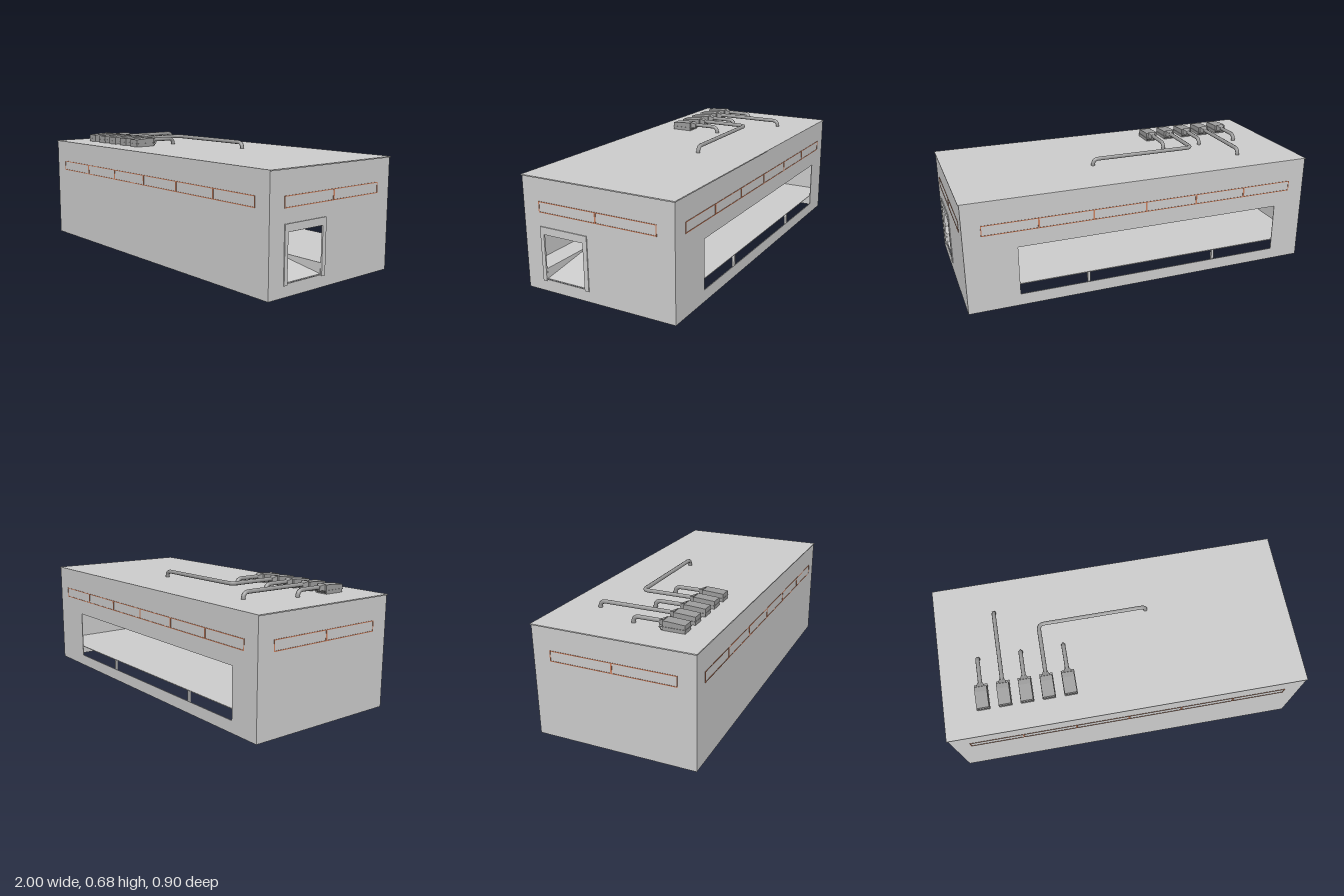
import * as THREE from 'three';

const mat = (name, color, extra = {}) => {
  const m = new THREE.MeshStandardMaterial({ color, ...extra });
  m.name = name;
  return m;
};

export function createModel() {
  const model = new THREE.Group();
  model.name = 'industrialHall';
  const shell = mat('paleGrey', 0xcccccc);
  const metal = mat('ductGrey', 0x9c9c9c, { side: THREE.DoubleSide });
  const trim = mat('rustOrange', 0xc9805f);

  const add = (name, geo, material, parent = model) => {
    const m = new THREE.Mesh(geo, material);
    m.name = name;
    parent.add(m);
    return m;
  };
  const box = (name, x0, x1, y0, y1, z0, z1, material, parent) => {
    const m = add(name, new THREE.BoxGeometry(x1 - x0, y1 - y0, z1 - z0), material, parent);
    m.position.set((x0 + x1) / 2, (y0 + y1) / 2, (z0 + z1) / 2);
    return m;
  };
  const poly = (pts) => new THREE.Shape(pts.map(([x, y]) => new THREE.Vector2(x, y)));
  const rect = (x0, x1, y0, y1) => poly([[x0, y0], [x1, y0], [x1, y1], [x0, y1]]);
  const extrude = (shape, depth) =>
    new THREE.ExtrudeGeometry(shape, { depth, bevelEnabled: false });

  const X = 0.995, Z = 0.445, T = 0.004, BASE = 0.01, TOP = 0.62, FLOOR = 0.135;

  // Outer walls: wide opening at the back, doorway on the left (+x) side
  box('frontWall', -X, X, BASE, TOP, Z - T, Z, shell);
  box('rightWall', -X, -X + T, BASE, TOP, -Z, Z, shell);
  const back = rect(-X, X, BASE, TOP);
  back.holes.push(rect(-0.815, 0.715, 0.075, 0.35));
  add('backWall', extrude(back, T), shell).position.z = -Z;
  const side = rect(-Z, Z, BASE, TOP);
  side.holes.push(rect(-0.323, -0.08, 0.075, 0.323));
  add('doorWall', extrude(side, T).rotateY(Math.PI / 2), shell).position.x = X - T;
  box('roof', -1, 1, TOP, 0.626, -0.448, 0.448, shell);

  // Raised floor with a notch for the door ramp
  const floor = poly([[-0.99, -0.44], [0.99, -0.44], [0.99, 0.08], [0.63, 0.08],
    [0.63, 0.323], [0.99, 0.323], [0.99, 0.44], [-0.99, 0.44]]);
  add('floor', extrude(floor, T).rotateX(Math.PI / 2), shell).position.y = FLOOR;

  // Ramp sinking from the floor to the door sill, with side cheeks
  const ramp = poly([[0.63, FLOOR - T], [0.99, 0.075], [0.99, 0.079], [0.63, FLOOR]]);
  add('doorRamp', extrude(ramp, 0.243), shell).position.z = 0.08;
  const cheek = poly([[0.63, FLOOR], [0.99, 0.075], [0.99, FLOOR]]);
  for (const z of [0.077, 0.323]) {
    add('rampCheek', extrude(cheek, 0.003), shell).position.z = z;
  }

  // Door surround
  const surround = poly([[-0.345, 0.068], [-0.323, 0.068], [-0.323, 0.325],
    [-0.08, 0.325], [-0.08, 0.068], [-0.055, 0.068], [-0.055, 0.365], [-0.345, 0.365]]);
  add('doorSurround', extrude(surround, 0.007).rotateY(Math.PI / 2), shell).position.x = X - 0.002;

  // Support posts under the floor
  for (const x of [-0.95, -0.432, 0.328, 0.915]) {
    for (const z of [-0.42, 0, 0.42]) {
      if (z === 0 && Math.abs(x) < 0.9) continue;
      box('supportPost', x - 0.007, x + 0.007, 0, FLOOR - T, z - 0.007, z + 0.007, shell);
    }
  }

  // Window bands: one thin frame for each pane, reaching through the wall
  const windowBand = (name, half, count, place) => {
    const band = new THREE.Group();
    band.name = name;
    const w = 2 * half / count, b = 0.0045;
    for (let i = 0; i < count; i++) {
      const x0 = -half + i * w;
      const frame = rect(x0, x0 + w, 0.439, 0.498);
      frame.holes.push(rect(x0 + b, x0 + w - b, 0.439 + b, 0.498 - b));
      const m = add('windowFrame', extrude(frame, 0.008), trim, band);
      m.position.z = -0.006;
    }
    place(band);
    model.add(band);
  };
  windowBand('frontWindows', 0.9, 6, (g) => { g.position.z = Z; });
  windowBand('backWindows', 0.9, 6, (g) => { g.position.z = -Z; g.rotation.y = Math.PI; });
  windowBand('leftWindows', 0.348, 2, (g) => { g.position.x = X; g.rotation.y = Math.PI / 2; });
  windowBand('rightWindows', 0.348, 2, (g) => { g.position.x = -X; g.rotation.y = -Math.PI / 2; });

  // Duct following straight runs with rounded corners
  const V = (x, y, z) => new THREE.Vector3(x, y, z);
  const duct = (pts, r) => {
    const path = new THREE.CurvePath();
    let from = pts[0];
    for (let i = 1; i < pts.length - 1; i++) {
      const p = pts[i];
      const a = p.clone().add(pts[i - 1].clone().sub(p).setLength(r));
      const b = p.clone().add(pts[i + 1].clone().sub(p).setLength(r));
      path.add(new THREE.LineCurve3(from, a));
      path.add(new THREE.QuadraticBezierCurve3(a, p, b));
      from = b;
    }
    path.add(new THREE.LineCurve3(from, pts[pts.length - 1]));
    add('duct', new THREE.TubeGeometry(path, 90, 0.0115, 8, false), metal);
  };

  // Rooftop fan units, each with a duct that bends down into the roof
  const H = 0.661, R = 0.034;
  const ends = [0.01, -0.25, 0.01, null, 0.01];
  ends.forEach((end, i) => {
    const x = -0.78 + i * 0.12;
    const unit = new THREE.Group();
    unit.name = 'fanUnit';
    unit.position.x = x;
    model.add(unit);
    // Casing profile drawn in (-z, y)
    const casing = poly([[-0.305, 0.625], [-0.185, 0.625], [-0.185, 0.675],
      [-0.215, 0.675], [-0.305, 0.669]]);
    add('casing', extrude(casing, 0.068).rotateY(Math.PI / 2), metal, unit).position.x = -0.034;
    box('tray', -0.037, 0.037, 0.643, 0.646, 0.165, 0.307, metal, unit);
    for (const s of [-1, 1]) {
      const strut = box('bracket', -0.002, 0.002, 0.626, 0.645, 0.174, 0.177, metal, unit);
      strut.position.x = s * 0.034;
      strut.rotation.x = -0.7;
    }
    // Tapered outlet towards the duct
    const outlet = new THREE.CylinderGeometry(0.017, 0.034, 0.03, 4, 1).toNonIndexed();
    outlet.rotateY(Math.PI / 4).rotateX(-Math.PI / 2);
    outlet.computeVertexNormals();
    add('outlet', outlet, metal, unit).position.set(0, H - 0.006, 0.172);
    if (end === null) {
      duct([V(x, H, 0.185), V(x, H, -0.125), V(0.195, H, -0.125), V(0.195, 0.62, -0.125)], R);
    } else {
      duct([V(x, H, 0.185), V(x, H, end), V(x, 0.62, end)], R);
    }
  });
  return model;
}
